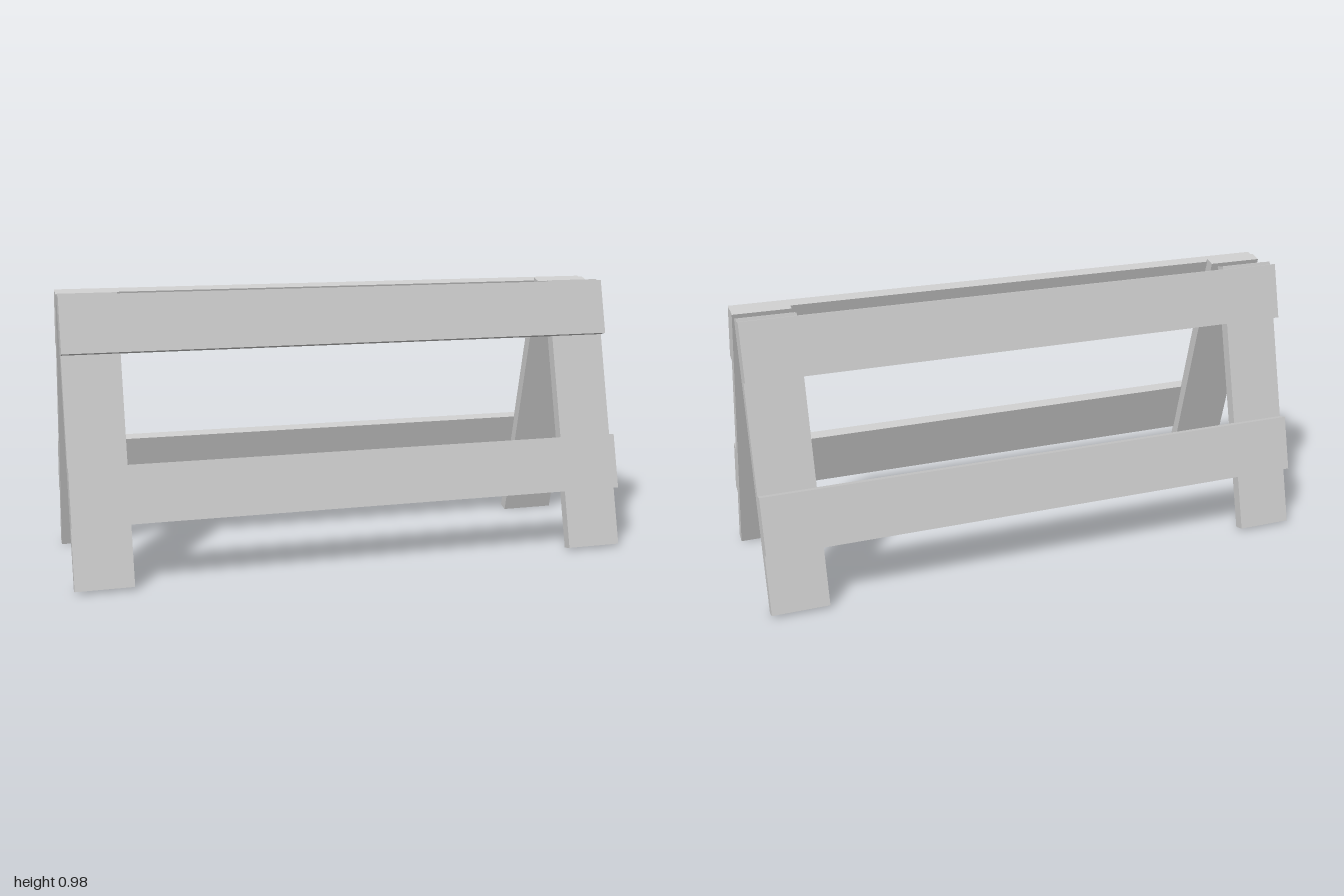
import * as THREE from 'three';

const material = new THREE.MeshStandardMaterial({ color: 0xcccccc });

function board(name, size, position) {
  const mesh = new THREE.Mesh(new THREE.BoxGeometry(...size), material);
  mesh.name = name;
  mesh.position.set(...position);
  return mesh;
}

// One leaning frame: two legs with two rails let slightly into their outer face
function createFrame(name) {
  const lean = new THREE.Group();
  lean.add(
    board('leftLeg', [0.2, 1, 0.04], [0.9, 0, 0]),
    board('rightLeg', [0.2, 1, 0.04], [-0.9, 0, 0]),
    board('topRail', [2, 0.2, 0.04], [0, 0.39, 0.0355]),
    board('lowerRail', [2, 0.2, 0.04], [0, -0.19, 0.0355])
  );
  lean.name = name + 'Boards';
  lean.rotation.x = -THREE.MathUtils.degToRad(15);
  lean.position.set(0, 0.488, 0.171);

  const frame = new THREE.Group();
  frame.name = name;
  frame.add(lean);
  return frame;
}

export function createModel() {
  const model = new THREE.Group();
  model.name = 'barricade';

  // The back frame is the front one turned around
  const front = createFrame('frontFrame');
  const back = createFrame('backFrame');
  back.rotation.y = Math.PI;
  model.add(front, back);
  return model;
}
